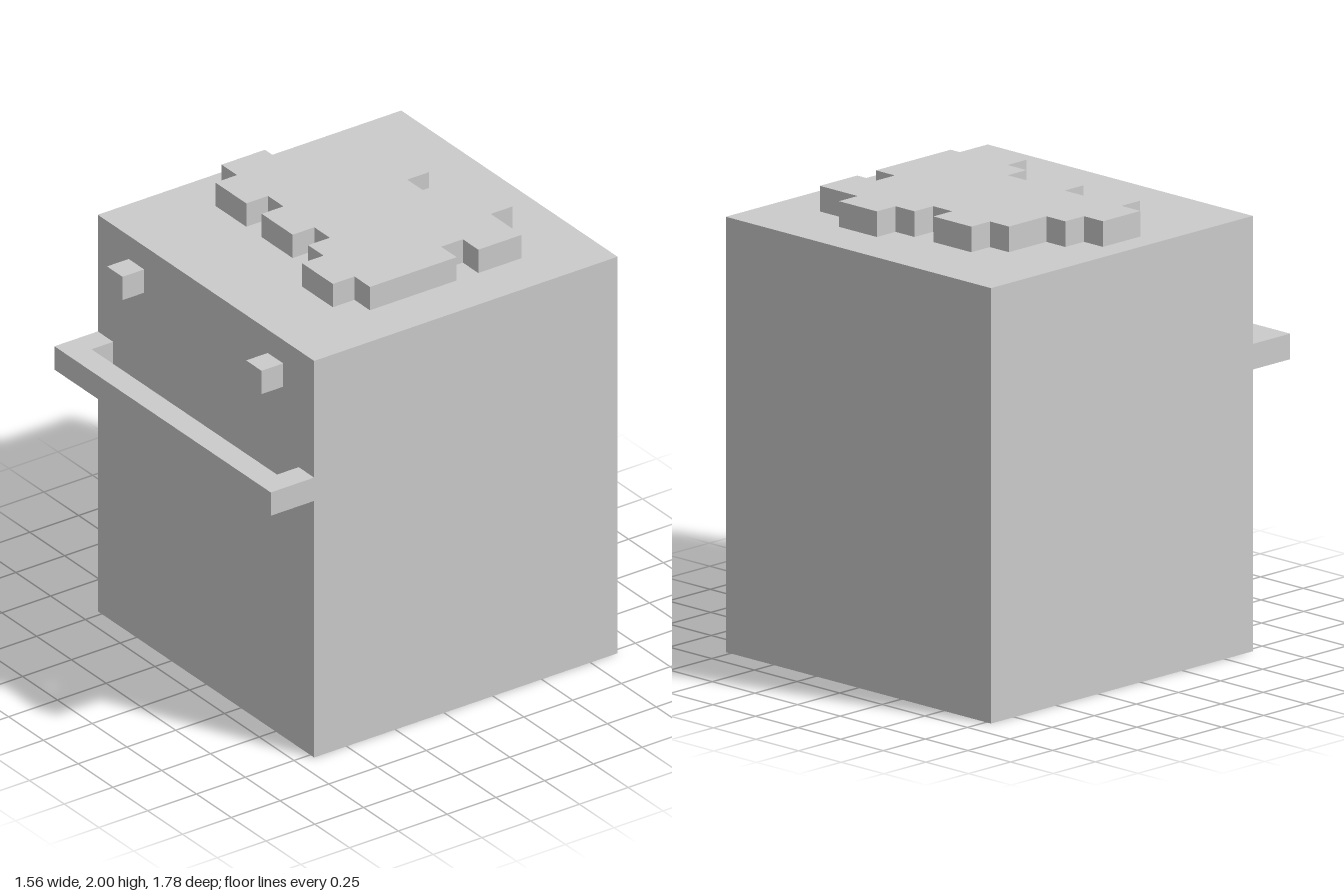
import * as THREE from 'three';

const U = 1 / 9; // the model sits on a grid of 1/9 unit
const material = new THREE.MeshStandardMaterial({ color: 0xcccccc, flatShading: true });

function add(group, name, geometry) {
  const mesh = new THREE.Mesh(geometry, material);
  mesh.name = name;
  group.add(mesh);
  return mesh;
}

// Box given by its extents in grid units
function box(group, name, [x0, x1], [y0, y1], [z0, z1]) {
  const mesh = add(group, name, new THREE.BoxGeometry((x1 - x0) * U, (y1 - y0) * U, (z1 - z0) * U));
  mesh.position.set((x0 + x1) / 2, (y0 + y1) / 2, (z0 + z1) / 2).multiplyScalar(U);
}

// Slab one grid unit thick, from an outline of [x, z] corners
function slab(group, name, outline, y) {
  const shape = new THREE.Shape(outline.map(([x, z]) => new THREE.Vector2(x * U, -z * U)));
  const geometry = new THREE.ExtrudeGeometry(shape, { depth: U, bevelEnabled: false });
  geometry.rotateX(-Math.PI / 2);
  add(group, name, geometry).position.y = y * U;
}

export function createModel() {
  const group = new THREE.Group();
  group.name = 'oven';

  box(group, 'body', [-7, 7], [0, 17], [-8, 6]);

  // Two knobs above the handle
  box(group, 'leftKnob', [4, 5], [15, 16], [6, 7]);
  box(group, 'rightKnob', [-5, -4], [15, 16], [6, 7]);

  // Handle bar with its two end posts
  slab(group, 'handle', [
    [-7, 6], [-7, 8], [7, 8], [7, 6], [6, 6], [6, 7], [-6, 7], [-6, 6],
  ], 11);

  // Raised stepped patch on the top
  slab(group, 'topPatch', [
    [-6, -1], [-5, -1], [-5, -2], [-4, -2], [-4, -4], [-3, -4], [-3, -5], [-1, -5], [-1, -4],
    [0, -4], [0, -5], [1, -5], [1, -6], [3, -6], [3, -5], [5, -5], [5, -3], [4, -3], [4, -2],
    [5, -2], [5, 2], [4, 2], [4, 3], [2, 3], [2, 2], [1, 2], [1, 1], [0, 1], [0, 2],
    [-2, 2], [-2, 1], [-3, 1], [-3, 2], [-5, 2], [-5, 1], [-6, 1],
  ], 17);

  return group;
}
